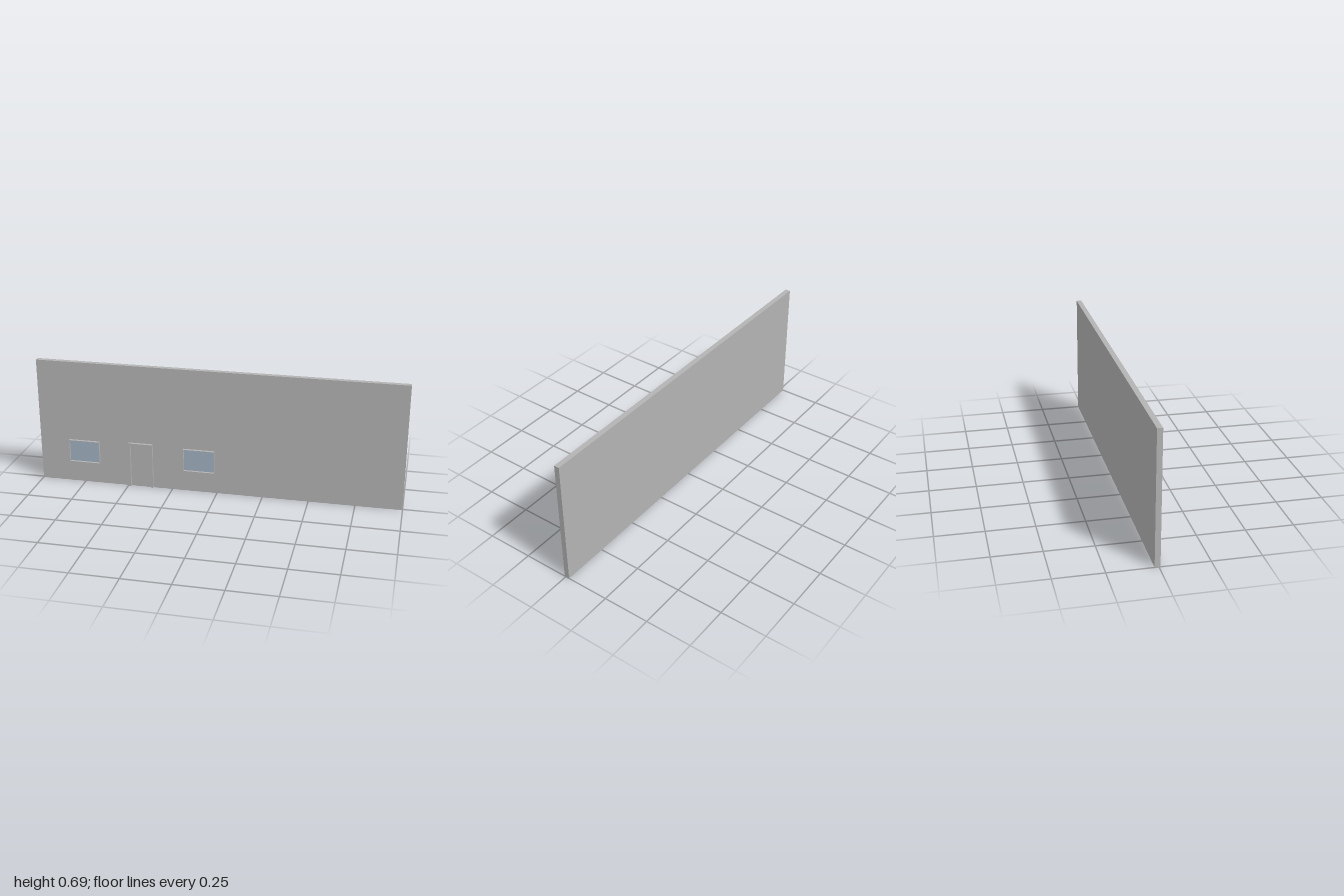
import * as THREE from 'three';

export function createModel() {
  const model = new THREE.Group();
  model.name = 'facadeWall';

  const concrete = new THREE.MeshStandardMaterial({ color: 0xb3b3b3 });
  concrete.name = 'concrete grey';
  const glass = new THREE.MeshStandardMaterial({ color: 0xa1b1c0 });
  glass.name = 'glass blue';

  const BACK = -0.021, FACE = 0.007, FRONT = 0.022;

  // Box given by its corner limits
  function box(name, material, x0, x1, y0, y1, z0, z1) {
    const mesh = new THREE.Mesh(new THREE.BoxGeometry(x1 - x0, y1 - y0, z1 - z0), material);
    mesh.position.set((x0 + x1) / 2, (y0 + y1) / 2, (z0 + z1) / 2);
    mesh.name = name;
    return mesh;
  }

  // Projecting frame: a rectangle outline, open at the bottom when there is no sill
  function frame(name, x0, x1, y0, y1, t, sill) {
    const s = new THREE.Shape();
    const points = sill
      ? [[x0, y0], [x1, y0], [x1, y1], [x0, y1]]
      : [[x0, y0], [x0 + t, y0], [x0 + t, y1 - t], [x1 - t, y1 - t],
        [x1 - t, y0], [x1, y0], [x1, y1], [x0, y1]];
    s.setFromPoints(points.map(([x, y]) => new THREE.Vector2(x, y)));
    if (sill) {
      const hole = [[x0 + t, y0 + t], [x0 + t, y1 - t], [x1 - t, y1 - t], [x1 - t, y0 + t]];
      s.holes.push(new THREE.Path(hole.map(([x, y]) => new THREE.Vector2(x, y))));
    }
    const geometry = new THREE.ExtrudeGeometry(s, { depth: FRONT - FACE, bevelEnabled: false });
    const mesh = new THREE.Mesh(geometry, concrete);
    mesh.position.z = FACE;
    mesh.name = name;
    return mesh;
  }

  // Wall slab
  model.add(box('wall', concrete, -1, 1, 0, 0.695, BACK, FACE));

  // Door surround
  model.add(frame('doorFrame', -0.492, -0.358, 0, 0.255, 0.009, false));

  // Windows: thin rim around a recessed pane
  for (const [side, x0] of [['right', -0.833], ['left', -0.186]]) {
    const x1 = x0 + 0.173, y0 = 0.118, y1 = 0.245;
    const win = new THREE.Group();
    win.name = side + 'Window';
    win.add(frame('windowFrame', x0, x1, y0, y1, 0.002, true));
    win.add(box('windowPane', glass, x0 + 0.001, x1 - 0.001, y0 + 0.001, y1 - 0.001, FACE - 0.001, FACE + 0.002));
    model.add(win);
  }

  return model;
}
